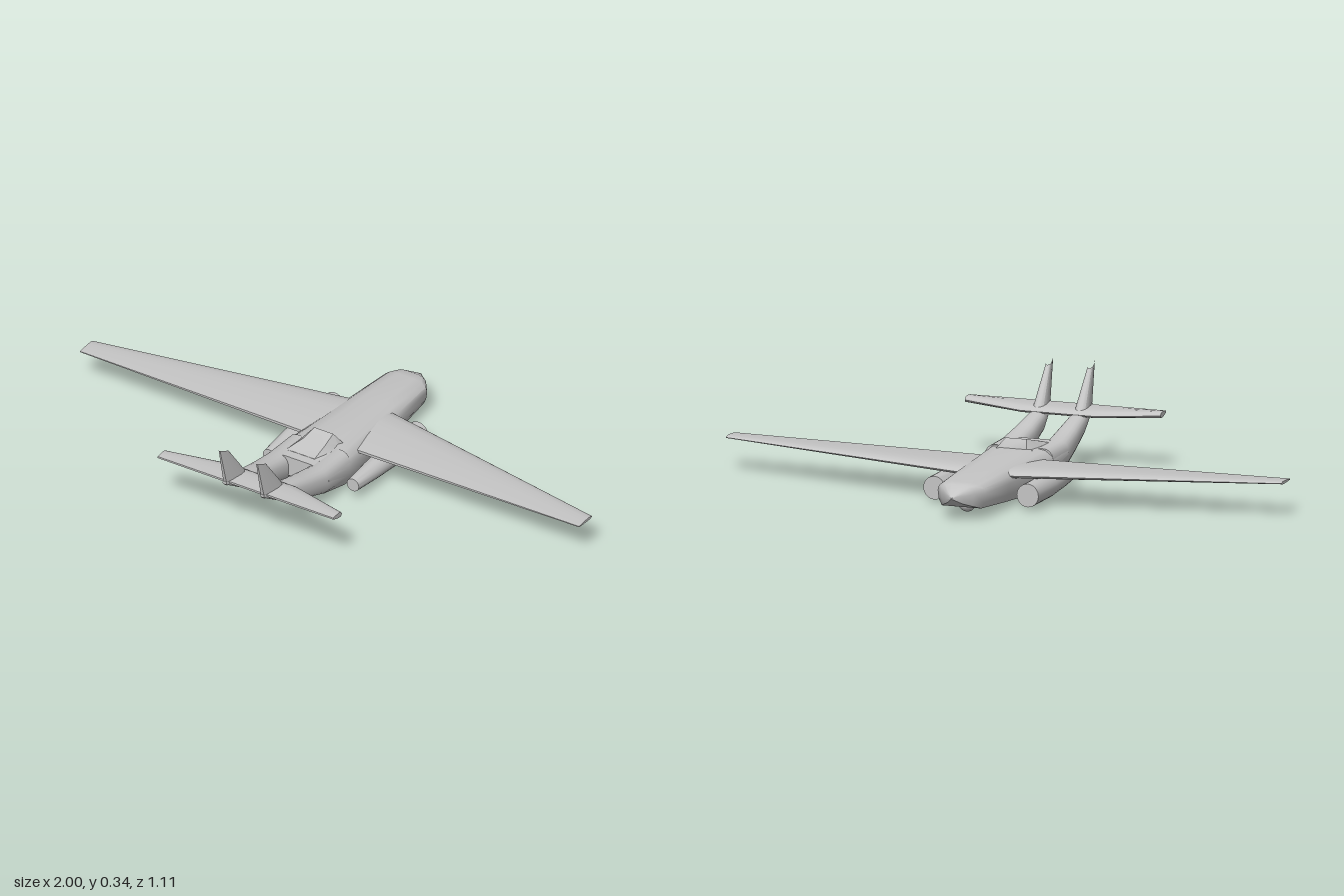
import * as THREE from 'three';
import { toCreasedNormals } from 'three/addons/utils/BufferGeometryUtils.js';

// Skin a closed solid over a list of rings (equal point counts), capping both ends
function loft(rings, crease = 0.7) {
  const n = rings[0].length, pts = rings.flat(), tris = [];
  for (let r = 0; r < rings.length - 1; r++) {
    for (let i = 0; i < n; i++) {
      const a = r * n + i, b = r * n + (i + 1) % n;
      tris.push([a, b, b + n], [a, b + n, a + n]);
    }
  }
  const flat = (ring) => THREE.ShapeUtils.triangulateShape(ring, []);
  const cap = (r, flip) => {
    // Drop the axis in which the ring is flattest, then triangulate
    const size = new THREE.Box3().setFromPoints(rings[r]).getSize(new THREE.Vector3());
    const axes = ['x', 'y', 'z'].sort((p, q) => size[q] - size[p]).slice(0, 2);
    const poly = rings[r].map((p) => new THREE.Vector2(p[axes[0]], p[axes[1]]));
    const ccw = THREE.ShapeUtils.area(poly) > 0;
    if (!ccw) poly.reverse();
    for (const f of flat(poly)) {
      let t = f.map((i) => r * n + (ccw ? i : n - 1 - i));
      if (!ccw) t.reverse();
      if (flip) t.reverse();
      tris.push(t);
    }
  };
  cap(0, true);
  cap(rings.length - 1, false);
  // Make the surface face outward
  let volume = 0;
  for (const [a, b, c] of tris) volume += pts[a].dot(pts[b].clone().cross(pts[c]));
  const pos = [];
  for (const t of tris) for (const i of volume < 0 ? [t[0], t[2], t[1]] : t) pos.push(...pts[i].toArray());
  const g = new THREE.BufferGeometry();
  g.setAttribute('position', new THREE.Float32BufferAttribute(pos, 3));
  return toCreasedNormals(g, crease);
}

const V = (x, y, z) => new THREE.Vector3(x, y, z);

// Rounded oblong ring in an x-y plane
function oval(cx, z, hw, bottom, top, power = 0.75, n = 20) {
  const cy = (top + bottom) / 2, hh = (top - bottom) / 2;
  return Array.from({ length: n }, (_, i) => {
    const a = (i / n) * Math.PI * 2, c = Math.cos(a), s = Math.sin(a);
    return V(cx + hw * Math.sign(c) * Math.abs(c) ** power, cy + hh * Math.sign(s) * Math.abs(s) ** power, z);
  });
}

// Aerofoil outline: fraction along the chord, fraction of half thickness
const foil = [[0, 0], [0.04, 0.5], [0.15, 0.9], [0.35, 1], [0.7, 0.7], [1, 0.3],
  [1, -0.3], [0.7, -0.7], [0.35, -1], [0.15, -0.9], [0.04, -0.5]];

// Wing section across x, with the chord running from front to back
const wingRing = (x, z0, y0, z1, y1, half) =>
  foil.map(([u, t]) => V(x, y0 + (y1 - y0) * u + t * half, z0 + (z1 - z0) * u));

// Fin section, thick in x
const finRing = (x, z0, y0, z1, y1, half) =>
  foil.map(([u, t]) => V(x + t * half, y0 + (y1 - y0) * u, z0 + (z1 - z0) * u));

// Fuselage section with a shallow channel along the belly
function bodyRing([z, w, bottom, top, channel]) {
  const h = top - bottom;
  const half = [[0.3 * w, bottom + channel], [0.5 * w, bottom], [0.82 * w, bottom], [0.95 * w, bottom + h * 0.25],
    [w, bottom + h * 0.6], [0.94 * w, bottom + h * 0.8], [0.75 * w, bottom + h * 0.94], [0.4 * w, top]];
  return [...half.map(([x, y]) => V(x, y, z)), ...half.reverse().map(([x, y]) => V(-x, y, z))];
}

export function createModel() {
  const model = new THREE.Group();
  const grey = new THREE.MeshStandardMaterial({ color: 0xc4c4c4 });
  grey.name = 'light grey';
  const add = (name, geometry) => {
    const mesh = new THREE.Mesh(geometry, grey);
    mesh.name = name;
    model.add(mesh);
    return mesh;
  };

  // Fuselage: z, half width, bottom, top, belly channel depth
  add('fuselage', loft([
    [-0.557, 0.002, 0.08, 0.084, 0], [-0.525, 0.034, 0.06, 0.104, 0], [-0.5, 0.06, 0.049, 0.119, 0],
    [-0.465, 0.086, 0.036, 0.122, 0], [-0.28, 0.1, 0.021, 0.13, 0], [-0.12, 0.112, 0.01, 0.134, 0.015],
    [0, 0.122, 0, 0.138, 0.035], [0.07, 0.128, 0.01, 0.138, 0.04], [0.195, 0.126, 0.04, 0.138, 0.025],
  ].map(bodyRing)));

  // Wedge fairing on the back, with its tall end to the front
  add('dorsalIntake', loft([
    [0.018, 0.066, 0.138], [0.035, 0.058, 0.17], [0.09, 0.066, 0.156], [0.16, 0.07, 0.139],
  ].map(([z, w, top]) => [V(-w, 0.12, z), V(w, 0.12, z), V(w, 0.136, z), V(w * 0.65, top, z),
    V(-w * 0.65, top, z), V(-w, 0.136, z)]), 0.5));

  // Sensor ball under the nose
  add('sensorBall', new THREE.SphereGeometry(0.03, 24, 16)).position.set(0, 0.04, -0.412);

  for (const s of [1, -1]) {
    const side = s > 0 ? 'left' : 'right';

    add(side + 'Wing', loft([
      wingRing(0, -0.28, 0.107, 0, 0.107, 0.018),
      wingRing(s * 0.1, -0.262, 0.108, 0, 0.108, 0.017),
      wingRing(s, -0.08, 0.117, 0, 0.117, 0.005),
    ]));

    // Tail boom curving upward
    add(side + 'TailBoom', loft([
      [0.08, 0.06, 0.045, 0.02, 0.137], [0.08, 0.2, 0.045, 0.04, 0.138], [0.076, 0.3, 0.04, 0.073, 0.158],
      [0.073, 0.4, 0.033, 0.11, 0.182], [0.074, 0.47, 0.022, 0.155, 0.19], [0.075, 0.525, 0.008, 0.19, 0.201],
    ].map(([x, z, hw, b, t]) => oval(s * x, z, hw, b, t))));

    add(side + 'Fin', loft([
      finRing(s * 0.075, 0.395, 0.17, 0.52, 0.185, 0.022),
      finRing(s * 0.075, 0.51, 0.32, 0.557, 0.339, 0.009),
    ]));

    add(side + 'Tailplane', loft([
      wingRing(0, 0.4, 0.182, 0.512, 0.194, 0.012),
      wingRing(s * 0.13, 0.4, 0.182, 0.512, 0.194, 0.012),
      wingRing(s * 0.352, 0.46, 0.188, 0.512, 0.194, 0.01),
    ]));

    // Round engine pod under the wing
    add(side + 'Engine', loft([
      [-0.288, 0.039, 0.012, 0.092], [-0.12, 0.04, 0.012, 0.092],
      [0, 0.034, 0.02, 0.086], [0.113, 0.024, 0.03, 0.077],
    ].map(([z, r, b, t]) => oval(s * 0.168, z, r, b, t, 1, 24))));
  }
  return model;
}
